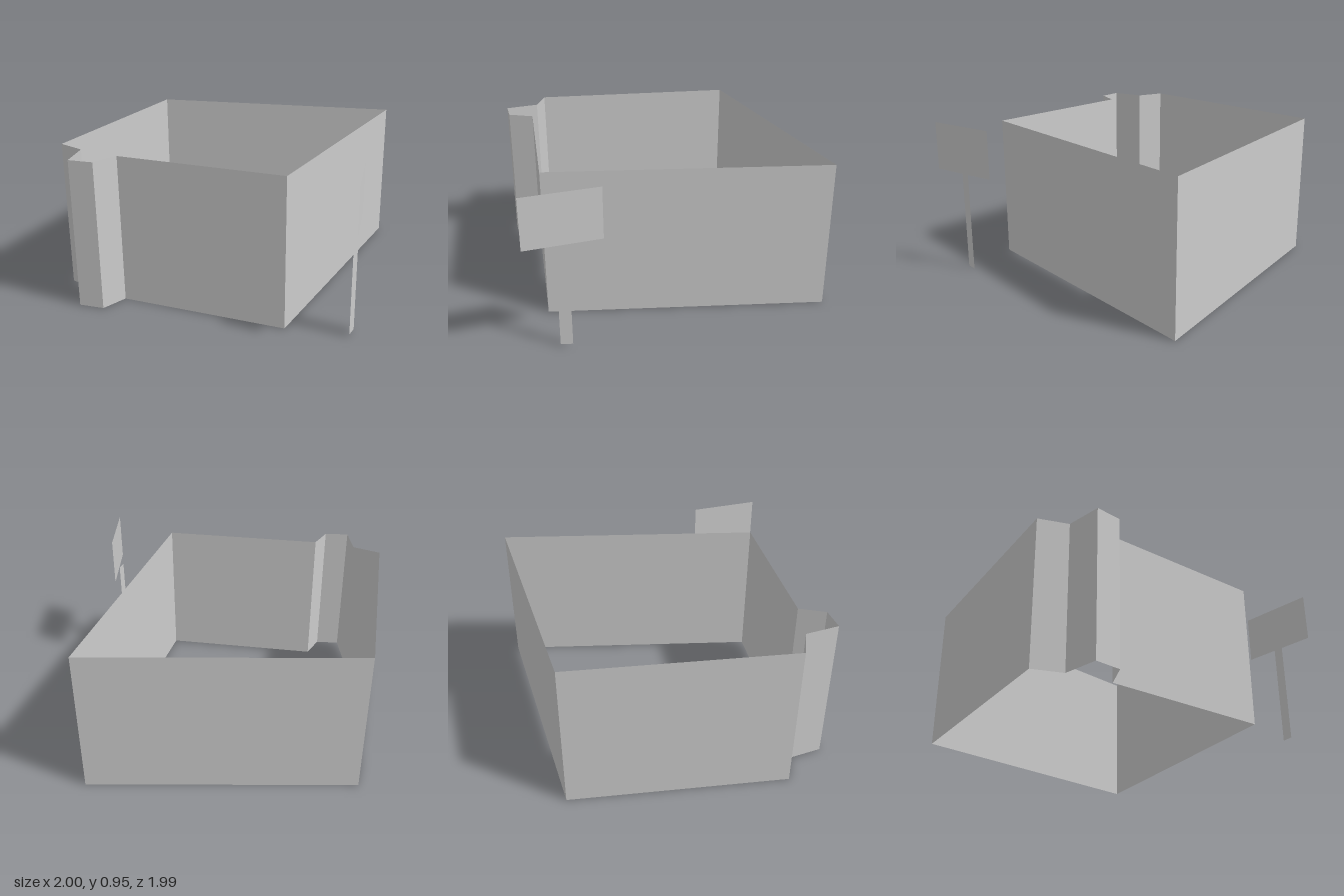
import * as THREE from 'three';

const material = new THREE.MeshStandardMaterial({
  color: 0xcccccc, flatShading: true, side: THREE.DoubleSide,
});

// Upright thin sheet following a plan path of [x, z] points, ordered left to right seen from its face
function sheet(name, path, bottom, top) {
  const positions = [];
  for (let i = 0; i < path.length - 1; i++) {
    const [ax, az] = path[i];
    const [bx, bz] = path[i + 1];
    positions.push(
      ax, bottom, az, bx, bottom, bz, bx, top, bz,
      ax, bottom, az, bx, top, bz, ax, top, az,
    );
  }
  const geometry = new THREE.BufferGeometry();
  geometry.setAttribute('position', new THREE.Float32BufferAttribute(positions, 3));
  geometry.computeVertexNormals();
  const mesh = new THREE.Mesh(geometry, material);
  mesh.name = name;
  return mesh;
}

export function createModel() {
  const model = new THREE.Group();
  model.name = 'walledBuilding';

  // Plan corners
  const frontLeft = [0.57, 0.69];
  const backLeft = [0.57, -0.99];
  const backRight = [-1, -0.55];
  const frontRight = [-0.89, 0.76];
  const bayStart = [-0.71, 0.80];
  const bayEnd = [-0.445, 0.81];
  const height = 0.91;

  // Open-topped outer walls, with a projecting entrance bay at the front
  const walls = new THREE.Group();
  walls.name = 'walls';
  walls.add(
    sheet('leftWall', [frontLeft, backLeft], 0, height),
    sheet('backWall', [backLeft, backRight], 0, height),
    sheet('rightWall', [backRight, frontRight], 0, height),
    sheet('frontWallShort', [frontRight, bayStart], 0, height),
    sheet('entranceBay', [bayStart, [-0.64, 1.0], [-0.49, 0.97], bayEnd], 0, height),
    sheet('frontWallLong', [bayEnd, frontLeft], 0, height),
  );

  // Free-standing sign beside the building
  const sign = new THREE.Group();
  sign.name = 'sign';
  sign.add(
    sheet('signPanel', [[1.0, 0.77], [0.88, 0.34]], 0.645, 0.948),
    sheet('signPost', [[0.925, 0.6], [0.925, 0.53]], 0.01, 0.66),
  );

  model.add(walls, sign);
  return model;
}
